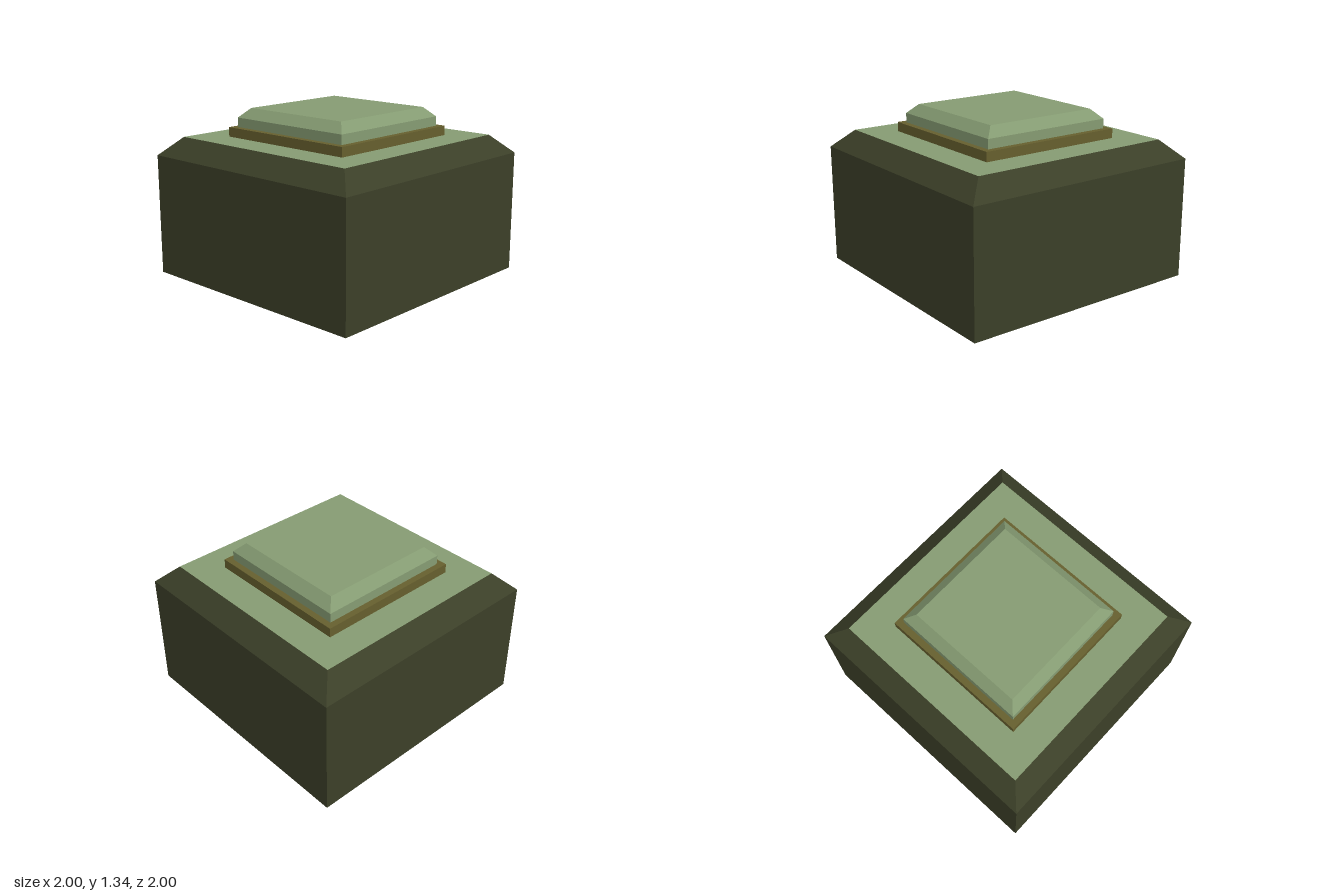
import * as THREE from 'three';

const material = (name, color, side = THREE.FrontSide) => {
  const m = new THREE.MeshStandardMaterial({ color, side, flatShading: true });
  m.name = name;
  return m;
};

// Square tapered block given by its half widths at the bottom and the top
function block(name, bottom, top, y0, y1, mat, open = false) {
  const geo = new THREE.CylinderGeometry(
    top * Math.SQRT2, bottom * Math.SQRT2, y1 - y0, 4, 1, open);
  geo.rotateY(Math.PI / 4);
  geo.translate(0, (y0 + y1) / 2, 0);
  const mesh = new THREE.Mesh(geo, mat);
  mesh.name = name;
  return mesh;
}

export function createModel() {
  const model = new THREE.Group();
  model.name = 'squareButtonBox';

  const darkOlive = material('dark olive', 0x3b3f28, THREE.DoubleSide);
  const paleGreen = material('pale green', 0x859b72, THREE.DoubleSide);
  const bronze = material('bronze', 0x665f2e);

  // Hollow body, open underneath, with a sloped shoulder
  model.add(block('bodyWalls', 1, 1, 0, 0.965, darkOlive, true));
  model.add(block('bodyShoulder', 1, 0.85, 0.965, 1.11, darkOlive, true));

  // Thin top panel, also seen from inside the body
  const panel = new THREE.Mesh(new THREE.PlaneGeometry(1.7, 1.7), paleGreen);
  panel.name = 'topPanel';
  panel.rotation.x = -Math.PI / 2;
  panel.position.y = 1.11;
  model.add(panel);

  // Trim frame; its underside is left open against the panel
  model.add(block('trimSides', 0.6, 0.6, 1.11, 1.185, bronze, true));
  const trimTop = new THREE.Mesh(new THREE.PlaneGeometry(1.2, 1.2), bronze);
  trimTop.name = 'trimTop';
  trimTop.rotation.x = -Math.PI / 2;
  trimTop.position.y = 1.185;
  model.add(trimTop);

  // Raised cap with a bevelled upper edge
  const cap = new THREE.Group();
  cap.name = 'cap';
  cap.add(block('capSides', 0.55, 0.55, 1.185, 1.26, paleGreen, true));
  cap.add(block('capBevel', 0.55, 0.475, 1.26, 1.335, paleGreen, true));
  const capTop = new THREE.Mesh(new THREE.PlaneGeometry(0.95, 0.95), paleGreen);
  capTop.name = 'capTop';
  capTop.rotation.x = -Math.PI / 2;
  capTop.position.y = 1.335;
  cap.add(capTop);
  model.add(cap);

  return model;
}
